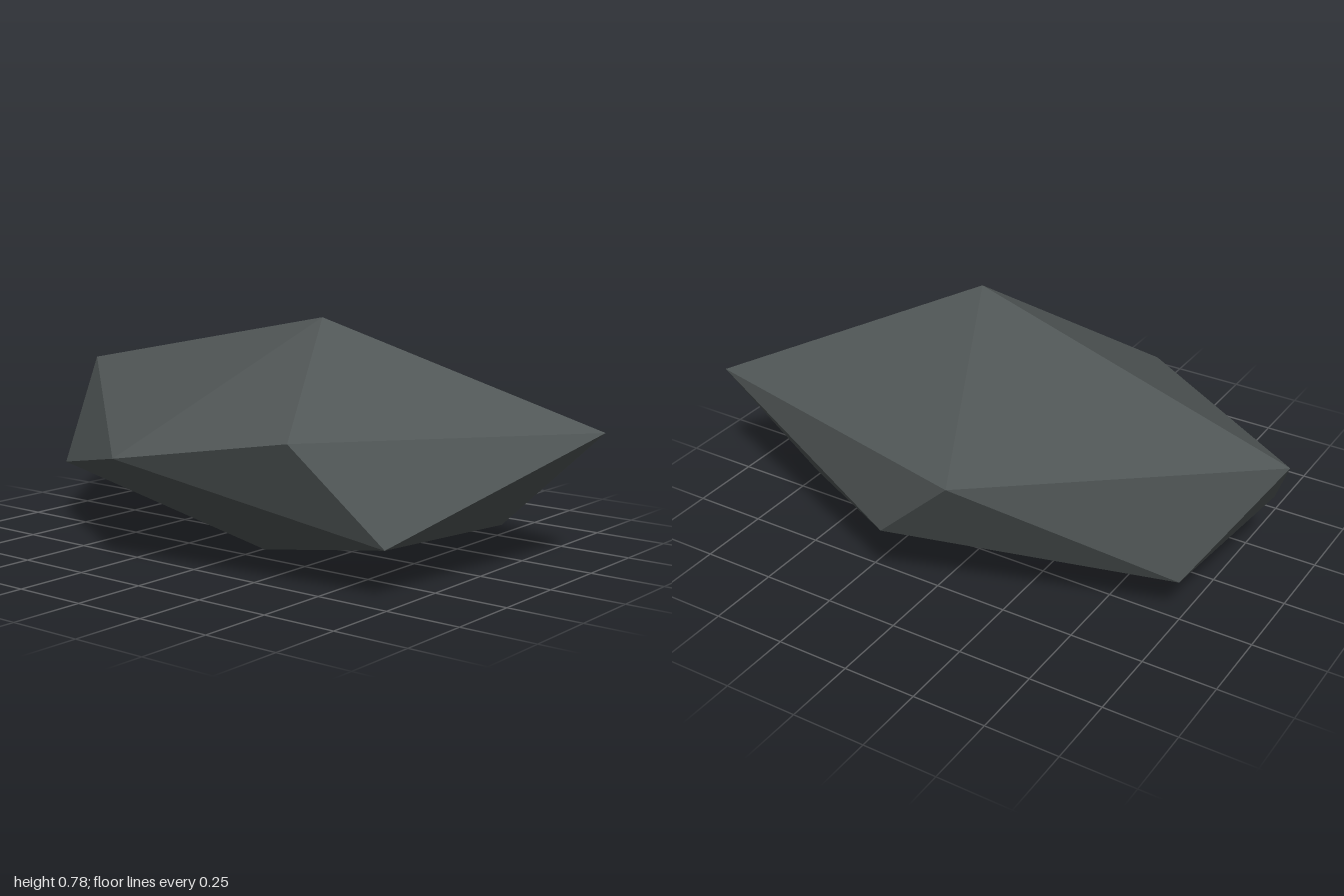
import * as THREE from 'three';
import { ConvexGeometry } from 'three/addons/geometries/ConvexGeometry.js';

export function createModel() {
  const group = new THREE.Group();
  group.name = 'boulder';

  const stone = new THREE.MeshStandardMaterial({ color: 0x505656 });
  stone.name = 'dark grey stone';
  stone.flatShading = true;

  // Corners of the faceted rock
  const corners = [
    [-0.105, 0.783, 0.205], // peak
    // upper ring
    [0.32, 0.437, 0.998],
    [0.673, 0.515, -0.16],
    [0.065, 0.543, -1.0],
    [-0.673, 0.361, -0.18],
    [-0.607, 0.472, 0.468],
    // lower ring
    [0.62, 0.238, 0.13],
    [0.27, 0.102, 0.658],
    [-0.442, 0.16, 0.7],
    [-0.258, 0.21, -0.835],
    [0.265, 0.15, -0.75],
    [-0.158, 0, 0.005], // foot
  ].map((p) => new THREE.Vector3(...p));

  const rock = new THREE.Mesh(new ConvexGeometry(corners), stone);
  rock.name = 'rock';
  group.add(rock);
  return group;
}
